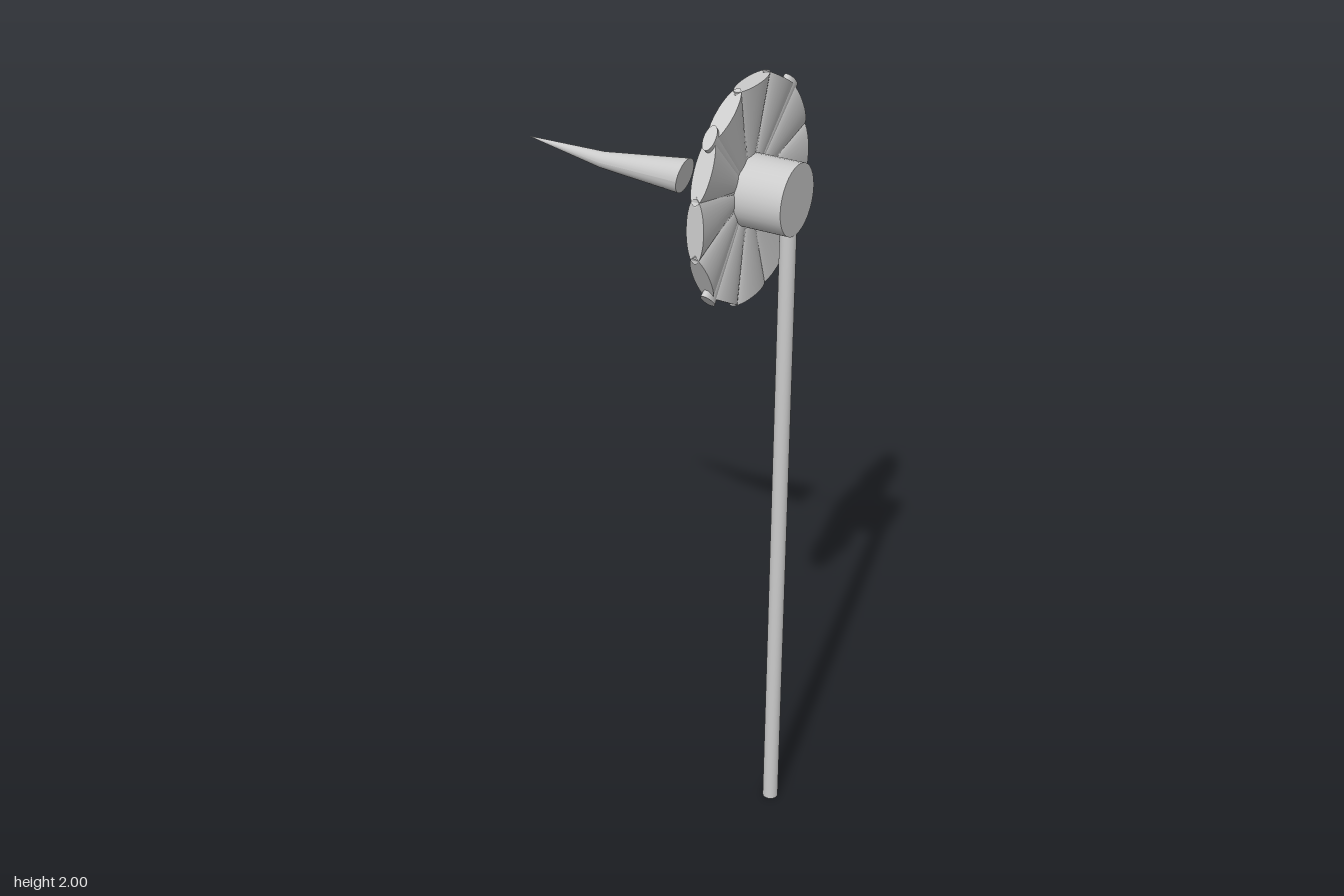
import * as THREE from 'three';

const material = new THREE.MeshStandardMaterial({ color: 0xcccccc });
const HUB_Y = 1.735;

function add(parent, geometry, name) {
  const mesh = new THREE.Mesh(geometry, material);
  mesh.name = name;
  parent.add(mesh);
  return mesh;
}

// Flattened cone frustum pointing out from the hub axis
function bladeGeometry(rootDist, tipDist, rootHalf, tipHalf, tipThick) {
  const g = new THREE.CylinderGeometry(tipHalf, rootHalf, tipDist - rootDist, 32);
  g.translate(0, (tipDist + rootDist) / 2, 0);
  g.scale(tipThick / tipHalf, 1, 1);
  return g;
}

// Bent horn: rings given as [x, y, z, radius, lean], from tip to base
function hornGeometry(rings) {
  const g = new THREE.CylinderGeometry(1, 1, 1, 32, rings.length - 1);
  const p = g.attributes.position;
  for (let i = 0; i < p.count; i++) {
    const level = Math.round((0.5 - p.getY(i)) * (rings.length - 1));
    const [x, y, z, r, lean] = rings[level];
    const up = p.getX(i) * r;
    p.setXYZ(i, x + up * lean, y + up, z + p.getZ(i) * r);
  }
  // Local axis now runs along x; flip the winding if the map mirrored it
  g.computeVertexNormals();
  return g;
}

export function createModel() {
  const group = new THREE.Group();

  // Pole
  add(group, new THREE.CylinderGeometry(0.02, 0.02, 1.655, 24), 'pole').position.set(0.345, 0.8275, 0);

  // Hub drum, axis along x
  const hub = add(group, new THREE.CylinderGeometry(0.087, 0.087, 0.175, 32), 'hub');
  hub.rotation.z = Math.PI / 2;
  hub.position.set(0.2775, HUB_Y, 0);

  // Wheel of twelve blades, with narrow ribs in the seams
  const wheel = new THREE.Group();
  wheel.name = 'wheel';
  wheel.position.set(0.243, HUB_Y, 0);
  group.add(wheel);
  const blade = bladeGeometry(0.05, 0.265, 0.012, 0.08, 0.022);
  const shortRib = bladeGeometry(0.05, 0.272, 0.004, 0.012, 0.008);
  const longRib = bladeGeometry(0.05, 0.283, 0.005, 0.031, 0.015);
  for (let i = 0; i < 12; i++) {
    const angle = (i * Math.PI) / 6;
    add(wheel, blade, 'blade').rotation.x = angle;
    const diagonal = i % 3 === 1;
    add(wheel, diagonal ? longRib : shortRib, 'rib').rotation.x = angle + Math.PI / 12;
  }

  // Thin rod between hub and tail
  const rod = add(group, new THREE.CylinderGeometry(0.0015, 0.0015, 0.105, 8), 'rod');
  rod.rotation.z = Math.PI / 2;
  rod.position.set(0.1425, HUB_Y, 0);

  // Bent, pointed tail
  add(group, hornGeometry([
    [-0.365, 1.735, -0.021, 0.0008, 0],
    [-0.15, 1.727, 0, 0.02, 0.1],
    [0.073, 1.733, 0, 0.043, 0.17],
  ]), 'tail');

  return group;
}
